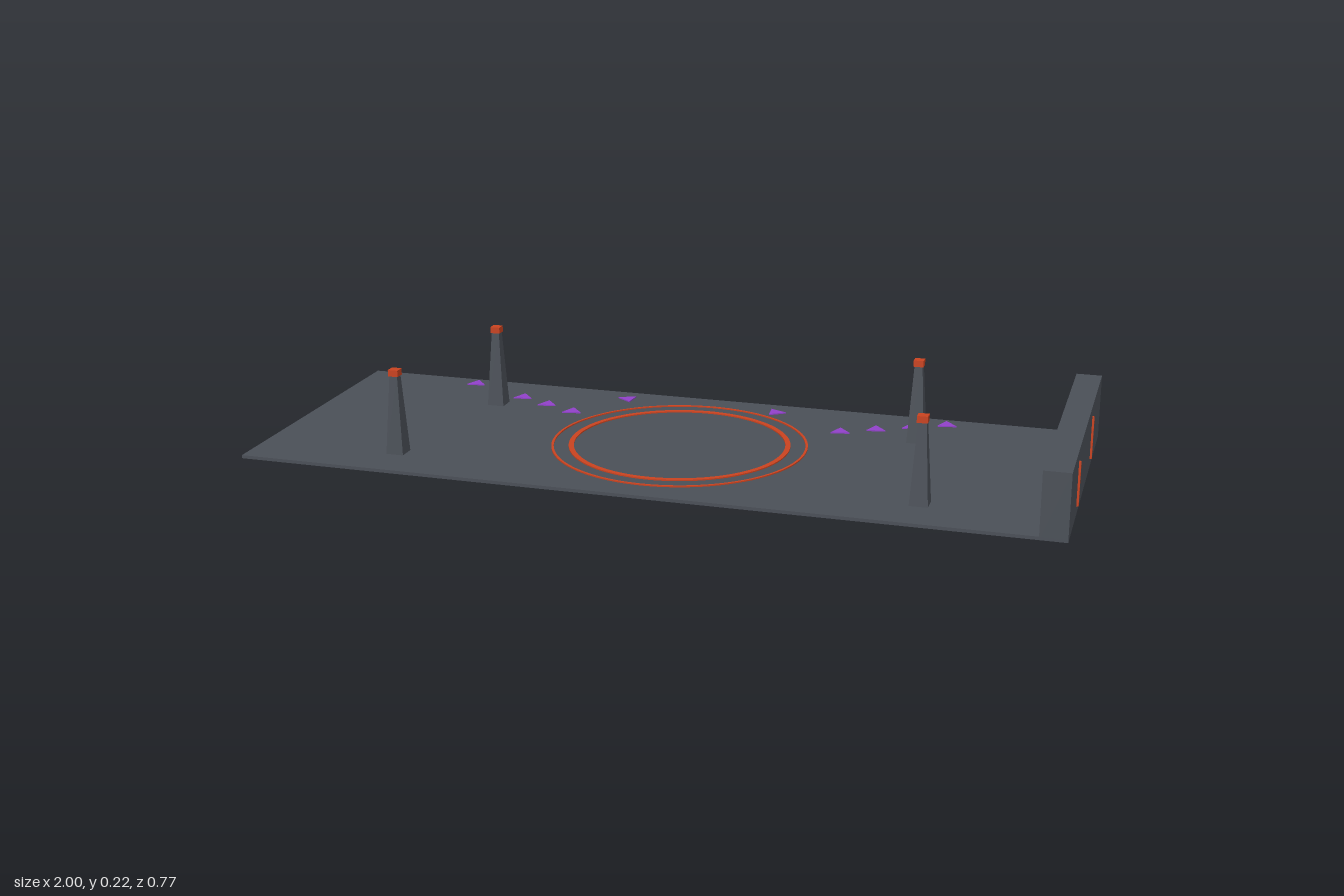
import * as THREE from 'three';

const mat = (name, color) => Object.assign(new THREE.MeshStandardMaterial({ color }), { name });

export function createModel() {
  const slate = mat('slate', 0x4a4f57);
  const ember = mat('ember orange', 0xc8421f);
  const violet = mat('violet', 0x9040c8);
  const group = new THREE.Group();
  const FLOOR = 0.008;

  const add = (name, geometry, material, x, y, z, parent = group) => {
    const mesh = new THREE.Mesh(geometry, material);
    mesh.name = name;
    mesh.position.set(x, y, z);
    parent.add(mesh);
    return mesh;
  };

  // floor slab and end wall
  add('floor', new THREE.BoxGeometry(1.995, FLOOR, 0.774), slate, -0.0025, FLOOR / 2, 0);
  add('endWall', new THREE.BoxGeometry(0.063, 0.16, 0.774), slate, 0.9635, 0.08, 0);

  // glowing strips showing on both faces of the wall
  for (const z of [0.215, -0.128]) {
    add('wallStrip', new THREE.BoxGeometry(0.073, 0.106, 0.007), ember, 0.9635, 0.078, z);
  }

  // tapered square pylons with bright caps
  const shaft = new THREE.CylinderGeometry(0.02 / Math.SQRT2, 0.044 / Math.SQRT2, 0.197, 4, 1);
  shaft.rotateY(Math.PI / 4);
  const pylonShaft = shaft.toNonIndexed();
  pylonShaft.computeVertexNormals();
  const cap = new THREE.BoxGeometry(0.025, 0.016, 0.025);
  for (const [x, z] of [[-0.643, 0.255], [0.649, 0.255], [-0.557, -0.193], [0.564, -0.193]]) {
    const pylon = new THREE.Group();
    pylon.name = 'pylon';
    pylon.position.set(x, 0, z);
    group.add(pylon);
    add('pylonShaft', pylonShaft, slate, 0, FLOOR + 0.0985, 0, pylon);
    add('pylonCap', cap, ember, 0, 0.212, 0, pylon);
  }

  // two thin floor rings
  const ring = (name, outer, width) => {
    const shape = new THREE.Shape().absarc(0, 0, outer, 0, Math.PI * 2);
    shape.holes.push(new THREE.Path().absarc(0, 0, outer - width, 0, Math.PI * 2, true));
    const geometry = new THREE.ExtrudeGeometry(shape, { depth: 0.003, bevelEnabled: false, curveSegments: 48 });
    geometry.rotateX(-Math.PI / 2);
    add(name, geometry, ember, 0.003, FLOOR, 0);
  };
  ring('outerRing', 0.319, 0.006);
  ring('innerRing', 0.276, 0.013);

  // triangular floor markers: position and heading in degrees
  const marker = new THREE.CylinderGeometry(0.028, 0.028, 0.003, 3).toNonIndexed();
  marker.rotateY(Math.PI); // one corner points to -z
  marker.computeVertexNormals();
  const placeMarker = (x, z, heading) => {
    add('floorMarker', marker, violet, x, FLOOR + 0.0015, z).rotation.y = THREE.MathUtils.degToRad(heading);
  };
  for (let i = 0; i < 5; i++) placeMarker(-0.682 + i * 0.0843, -0.346 + i * 0.0415, 10);
  for (let i = 0; i < 4; i++) placeMarker(0.366 + i * 0.0837, -0.211 - i * 0.0437, 10);
  placeMarker(-0.238, -0.326, -35);
  placeMarker(0.17, -0.321, 35);

  return group;
}
